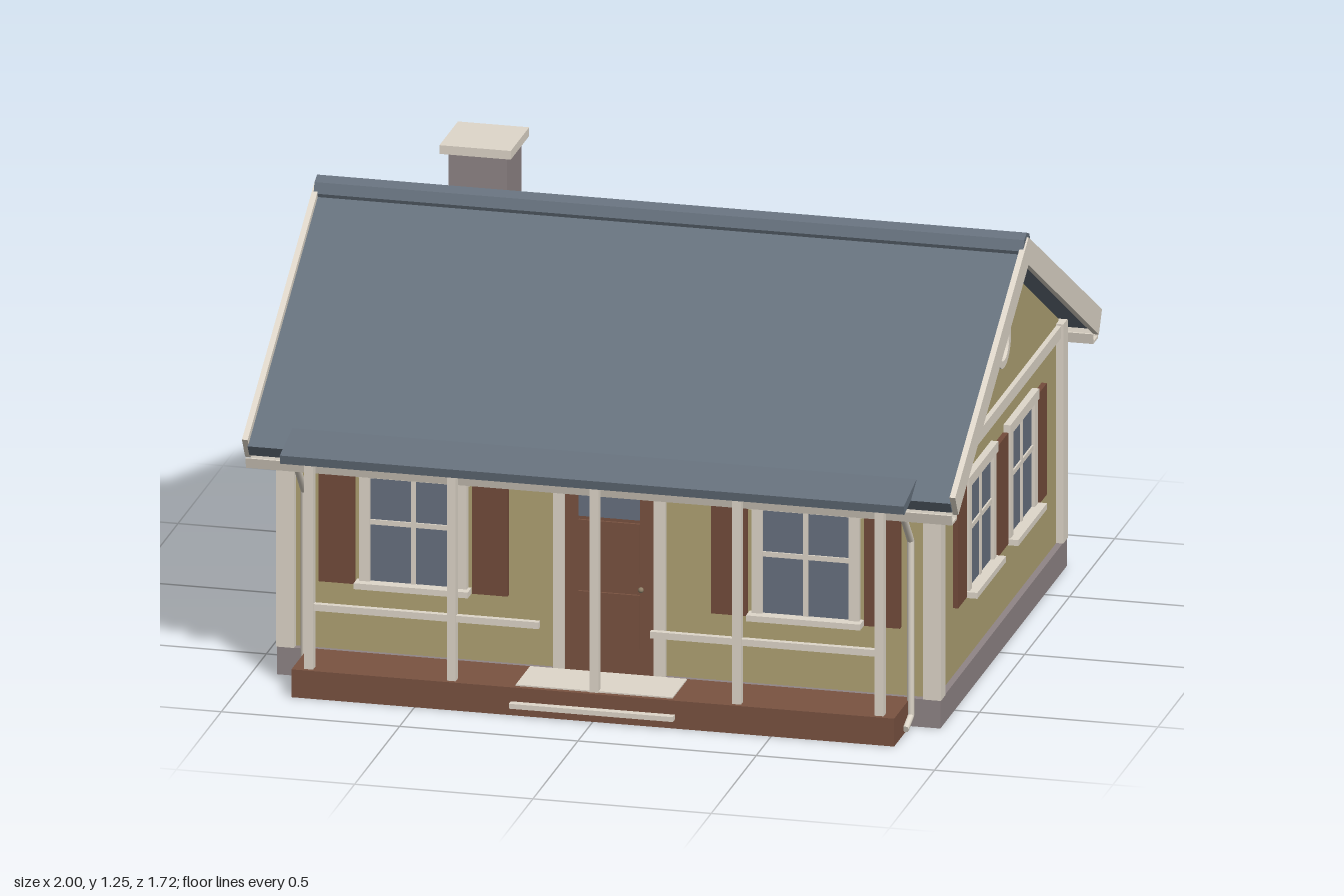
import * as THREE from 'three';

const mat = (name, color, side = THREE.FrontSide) => {
  const m = new THREE.MeshStandardMaterial({ color, side });
  m.name = name;
  return m;
};

export function createModel() {
  const wall = mat('wall paint', 0xb0a374);
  const trim = mat('trim paint', 0xdfd7ca);
  const roof = mat('roof slate', 0x66717d);
  const stone = mat('stone', 0x908586);
  const wood = mat('brown wood', 0x7a5341);
  const shutterPaint = mat('shutter paint', 0x744c3b);
  const glass = mat('glass', 0x687180);
  const metal = mat('knob metal', 0x8f8068);

  const RIDGE_Z = -0.045;
  const WALL_X = 0.912, WALL_Z = 0.682; // half sizes of the walls
  const house = new THREE.Group();
  house.name = 'house';

  const add = (parent, name, geo, material, x = 0, y = 0, z = 0) => {
    const m = new THREE.Mesh(geo, material);
    m.name = name;
    m.position.set(x, y, z);
    parent.add(m);
    return m;
  };
  // box given by its extents
  const box = (parent, name, material, x0, x1, y0, y1, z0, z1) =>
    add(parent, name, new THREE.BoxGeometry(x1 - x0, y1 - y0, z1 - z0), material,
      (x0 + x1) / 2, (y0 + y1) / 2, (z0 + z1) / 2);
  // profile of [z from ridge, y] points, extruded along x
  const profile = (name, pts, length, material, x = 0) => {
    const shape = new THREE.Shape(pts.map(([a, b]) => new THREE.Vector2(a, b)));
    const geo = new THREE.ExtrudeGeometry(shape, { depth: length, bevelEnabled: false });
    geo.translate(0, 0, -length / 2).rotateY(-Math.PI / 2);
    return add(house, name, geo, material, x, 0, RIDGE_Z);
  };
  // round rod between two points
  const rod = (parent, name, a, b, r, material) => {
    const d = b.clone().sub(a);
    const m = add(parent, name, new THREE.CylinderGeometry(r, r, d.length(), 10), material);
    m.position.copy(a).addScaledVector(d, 0.5);
    m.quaternion.setFromUnitVectors(new THREE.Vector3(0, 1, 0), d.normalize());
  };

  // walls with gables, floor raised to the top of the foundation
  profile('walls', [[-WALL_Z, 0.076], [WALL_Z, 0.076], [WALL_Z, 0.715], [0, 1.118], [-WALL_Z, 0.715]], WALL_X * 2, wall);

  // hollow foundation ring
  for (const s of [-1, 1]) {
    box(house, 'foundationSide', stone, s * 0.918 - 0.012, s * 0.918 + 0.012, 0, 0.08, RIDGE_Z - 0.703, RIDGE_Z + 0.703);
    const z = RIDGE_Z + s * 0.691;
    box(house, 'foundationLong', stone, -0.93, 0.93, 0, 0.08, z - 0.012, z + 0.012);
  }

  // corner boards and gable belts
  for (const sx of [-1, 1]) {
    for (const sz of [-1, 1]) {
      const z = RIDGE_Z + sz * 0.68;
      box(house, 'cornerBoard', trim, sx * 0.907 - 0.025, sx * 0.907 + 0.025, 0.08, 0.71, z - 0.025, z + 0.025);
    }
    box(house, 'gableBelt', trim, sx * 0.917 - 0.009, sx * 0.917 + 0.009, 0.67, 0.705, -0.7, 0.62);
  }

  // roof, rake boards and ridge cap
  profile('roof', [[0, 1.122], [0.793, 0.655], [0.813, 0.687], [0, 1.167], [-0.813, 0.687], [-0.793, 0.655]], 1.97, roof);
  for (const s of [-1, 1]) {
    profile('rakeBoard', [[0, 1.105], [0.78, 0.645], [0.816, 0.706], [0, 1.184], [-0.816, 0.706], [-0.78, 0.645]],
      0.016, trim, s * 0.992);
  }
  const cap = new THREE.CylinderGeometry(0.041, 0.041, 1.99, 8).toNonIndexed();
  cap.computeVertexNormals();
  cap.rotateZ(Math.PI / 2);
  add(house, 'ridgeCap', cap, roof, 0, 1.156, RIDGE_Z);

  // trough gutters and downspouts
  const trough = [[0.758, 0.624], [0.81, 0.624], [0.818, 0.654], [0.811, 0.654], [0.805, 0.631],
    [0.764, 0.631], [0.759, 0.654], [0.752, 0.654]];
  for (const sz of [-1, 1]) {
    const side = trough.map(([z, y]) => [sz * z, y]);
    profile('gutter', side, 1.98, trim);
    for (const sx of [-1, 1]) {
      const pts = [[0.795, 0.63], [0.717, 0.54], [0.717, 0.035], [0.775, 0.015]]
        .map(([z, y]) => new THREE.Vector3(sx * 0.85, y, RIDGE_Z + sz * z));
      for (let i = 0; i < 3; i++) rod(house, 'downspout', pts[i], pts[i + 1], 0.01, trim);
      for (const p of pts.slice(1, 3)) add(house, 'downspoutElbow', new THREE.SphereGeometry(0.01, 10, 8), trim, p.x, p.y, p.z);
    }
  }

  // chimney
  box(house, 'chimney', stone, -0.675, -0.51, 0.9, 1.225, -0.395, -0.235);
  box(house, 'chimneyCap', trim, -0.695, -0.495, 1.225, 1.25, -0.42, -0.215);

  // shuttered window, facing its local +z
  const addWindow = (x, z, turn) => {
    const w = new THREE.Group();
    w.name = 'window';
    box(w, 'pane', glass, -0.123, 0.123, 0.285, 0.588, 0, 0.008);
    for (const s of [-1, 1]) {
      box(w, 'sideTrim', trim, s * 0.136 - 0.015, s * 0.136 + 0.015, 0.285, 0.588, 0, 0.018);
      box(w, 'shutter', shutterPaint, s * 0.215 - 0.05, s * 0.215 + 0.05, 0.275, 0.595, 0, 0.015);
    }
    box(w, 'headTrim', trim, -0.16, 0.16, 0.585, 0.615, 0, 0.02);
    box(w, 'sill', trim, -0.16, 0.16, 0.27, 0.287, 0, 0.042);
    box(w, 'uprightBar', trim, -0.007, 0.007, 0.285, 0.588, 0, 0.013);
    box(w, 'crossBar', trim, -0.123, 0.123, 0.45, 0.464, 0, 0.013);
    w.position.set(x, 0, z);
    w.rotation.y = turn;
    house.add(w);
  };
  for (const s of [-1, 1]) {
    addWindow(s * 0.55, RIDGE_Z + WALL_Z, 0);
    addWindow(s * 0.46, RIDGE_Z - WALL_Z, Math.PI);
    addWindow(WALL_X, RIDGE_Z + s * 0.228, Math.PI / 2);
  }
  addWindow(-WALL_X, RIDGE_Z, -Math.PI / 2);

  // round gable windows
  for (const s of [-1, 1]) {
    const g = new THREE.Group();
    g.name = 'roundWindow';
    const ring = new THREE.Shape().absarc(0, 0, 0.076, 0, Math.PI * 2);
    ring.holes.push(new THREE.Path().absarc(0, 0, 0.056, 0, Math.PI * 2, true));
    add(g, 'ring', new THREE.ExtrudeGeometry(ring, { depth: 0.02, bevelEnabled: false, curveSegments: 24 }), trim);
    add(g, 'pane', new THREE.CylinderGeometry(0.06, 0.06, 0.008, 24).rotateX(Math.PI / 2), glass, 0, 0, 0.004);
    g.position.set(s * WALL_X, 0.88, RIDGE_Z);
    g.rotation.y = s * Math.PI / 2;
    house.add(g);
  }

  // front door
  const door = new THREE.Group();
  door.name = 'door';
  box(door, 'leaf', wood, -0.126, 0.126, 0.08, 0.605, 0, 0.012);
  box(door, 'topPane', glass, -0.086, 0.086, 0.525, 0.59, 0.012, 0.016);
  box(door, 'upperPanel', wood, -0.086, 0.086, 0.37, 0.515, 0.012, 0.019);
  box(door, 'lowerPanel', wood, -0.086, 0.086, 0.155, 0.31, 0.012, 0.019);
  for (const s of [-1, 1]) box(door, 'jamb', trim, s * 0.141 - 0.016, s * 0.141 + 0.016, 0.08, 0.605, 0, 0.02);
  box(door, 'lintel', trim, -0.157, 0.157, 0.603, 0.622, 0, 0.02);
  add(door, 'knob', new THREE.SphereGeometry(0.008, 12, 8), metal, 0.09, 0.327, 0.02);
  door.position.z = RIDGE_Z + WALL_Z;
  house.add(door);

  // porch deck with skirts, landing and step
  const porch = new THREE.Group();
  porch.name = 'porch';
  box(porch, 'deck', wood, -0.845, 0.845, 0.062, 0.08, 0.65, 0.835);
  box(porch, 'frontSkirt', wood, -0.845, 0.845, 0, 0.07, 0.813, 0.835);
  for (const s of [-1, 1]) box(porch, 'sideSkirt', wood, s * 0.835 - 0.01, s * 0.835 + 0.01, 0, 0.07, 0.658, 0.82);
  box(porch, 'landing', trim, -0.22, 0.22, 0.08, 0.084, 0.66, 0.82);
  box(porch, 'step', trim, -0.23, 0.23, 0.026, 0.04, 0.665, 0.857);

  // posts and rails
  for (let i = -2; i <= 2; i++) box(porch, 'post', trim, i * 0.4 - 0.0125, i * 0.4 + 0.0125, 0.08, 0.69, 0.798, 0.823);
  for (const s of [-1, 1]) box(porch, 'rail', trim, s * 0.472 - 0.316, s * 0.472 + 0.316, 0.248, 0.267, 0.802, 0.819);

  // porch roof
  const awning = add(porch, 'porchRoof', new THREE.BoxGeometry(1.75, 0.026, 0.145), roof, 0, 0.699, 0.773);
  awning.rotation.x = 0.22;
  house.add(porch);

  return house;
}
